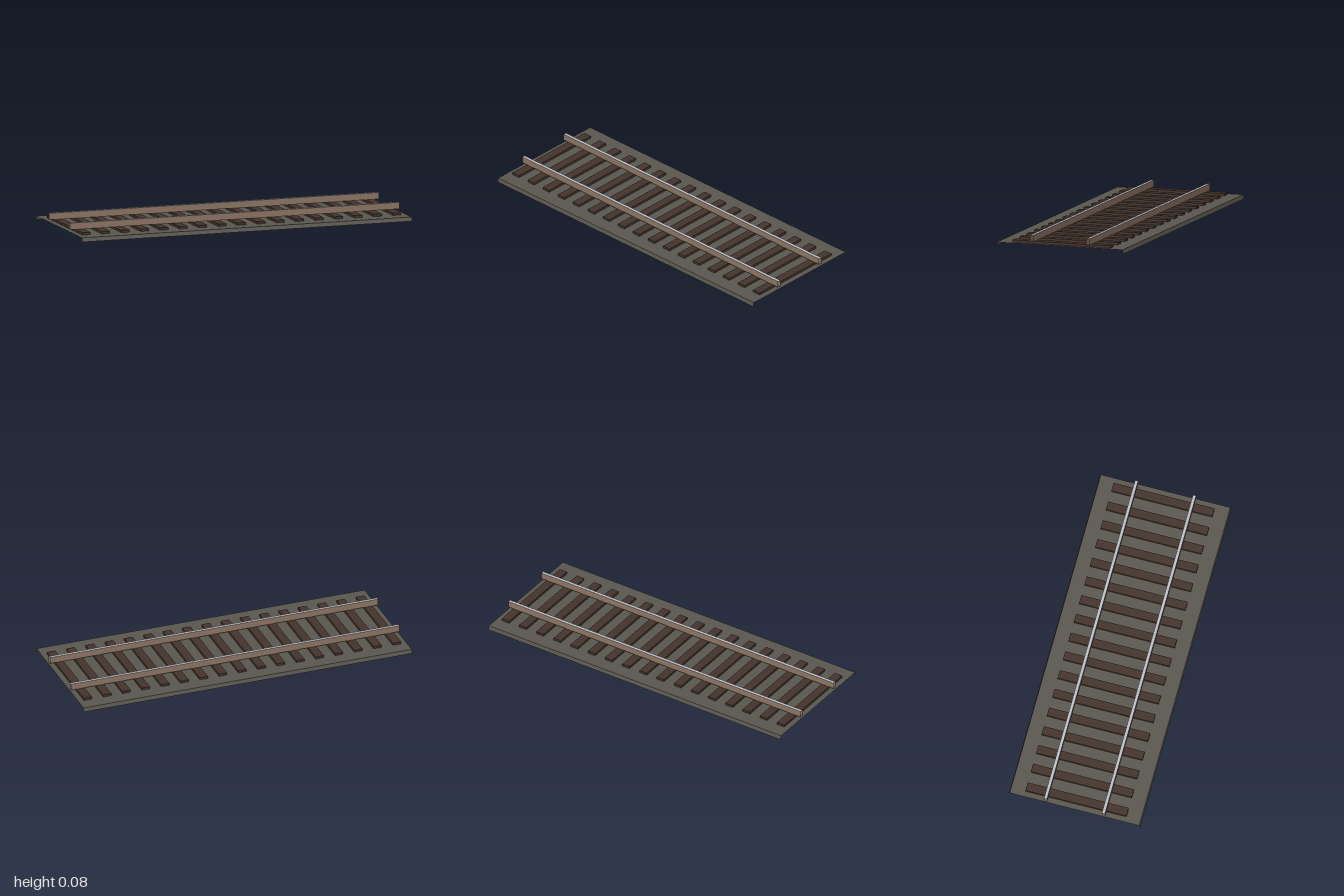
import * as THREE from 'three';

const LENGTH = 2;
const SLEEPERS = 17;

const material = (name, color, side = THREE.FrontSide) => {
  const m = new THREE.MeshStandardMaterial({ color, side });
  m.name = name;
  return m;
};

// Open-ended strip along x; profile of [z, y] points runs from +z over the top to -z
function strip(profile) {
  const pos = [];
  const h = LENGTH / 2;
  for (let i = 0; i < profile.length - 1; i++) {
    const [z0, y0] = profile[i];
    const [z1, y1] = profile[i + 1];
    pos.push(-h, y0, z0, h, y0, z0, h, y1, z1);
    pos.push(-h, y0, z0, h, y1, z1, -h, y1, z1);
  }
  const g = new THREE.BufferGeometry();
  g.setAttribute('position', new THREE.Float32BufferAttribute(pos, 3));
  g.computeVertexNormals();
  return g;
}

export function createModel() {
  const group = new THREE.Group();
  group.name = 'railwayTrack';
  const gravel = material('gravel grey', 0x5b5750, THREE.DoubleSide);
  const wood = material('dark wood', 0x44342c);
  const rust = material('rusty steel', 0x8e7766, THREE.DoubleSide);
  const steel = material('polished steel', 0xc2c4cc, THREE.DoubleSide);

  const add = (name, geometry, mat, parent = group) => {
    const mesh = new THREE.Mesh(geometry, mat);
    mesh.name = name;
    parent.add(mesh);
    return mesh;
  };

  // Ballast bed: a thin sheet with steep shoulders, open beneath
  add('ballastBed', strip([[0.388, 0], [0.382, 0.0235], [-0.382, 0.0235], [-0.388, 0]]), gravel);

  // Sleepers, evenly spaced
  const sleeperGeometry = new THREE.BoxGeometry(0.05, 0.0142, 0.596);
  for (let i = 0; i < SLEEPERS; i++) {
    const x = (i - (SLEEPERS - 1) / 2) * LENGTH / SLEEPERS;
    add('sleeper', sleeperGeometry, wood).position.set(x, 0.0299, 0);
  }

  // Rails: rusty sides with a polished running surface
  const w = 0.009;
  const sides = strip([[-w, 0.037], [w, 0.037], [w, 0.075]]);
  const farSide = strip([[-w, 0.075], [-w, 0.037]]);
  const top = strip([[w, 0.075], [-w, 0.075]]);
  for (const side of [1, -1]) {
    const rail = new THREE.Group();
    rail.name = side > 0 ? 'frontRail' : 'backRail';
    rail.position.z = side * 0.171;
    add('railFootAndFront', sides, rust, rail);
    add('railBack', farSide, rust, rail);
    add('runningSurface', top, steel, rail);
    group.add(rail);
  }
  return group;
}
